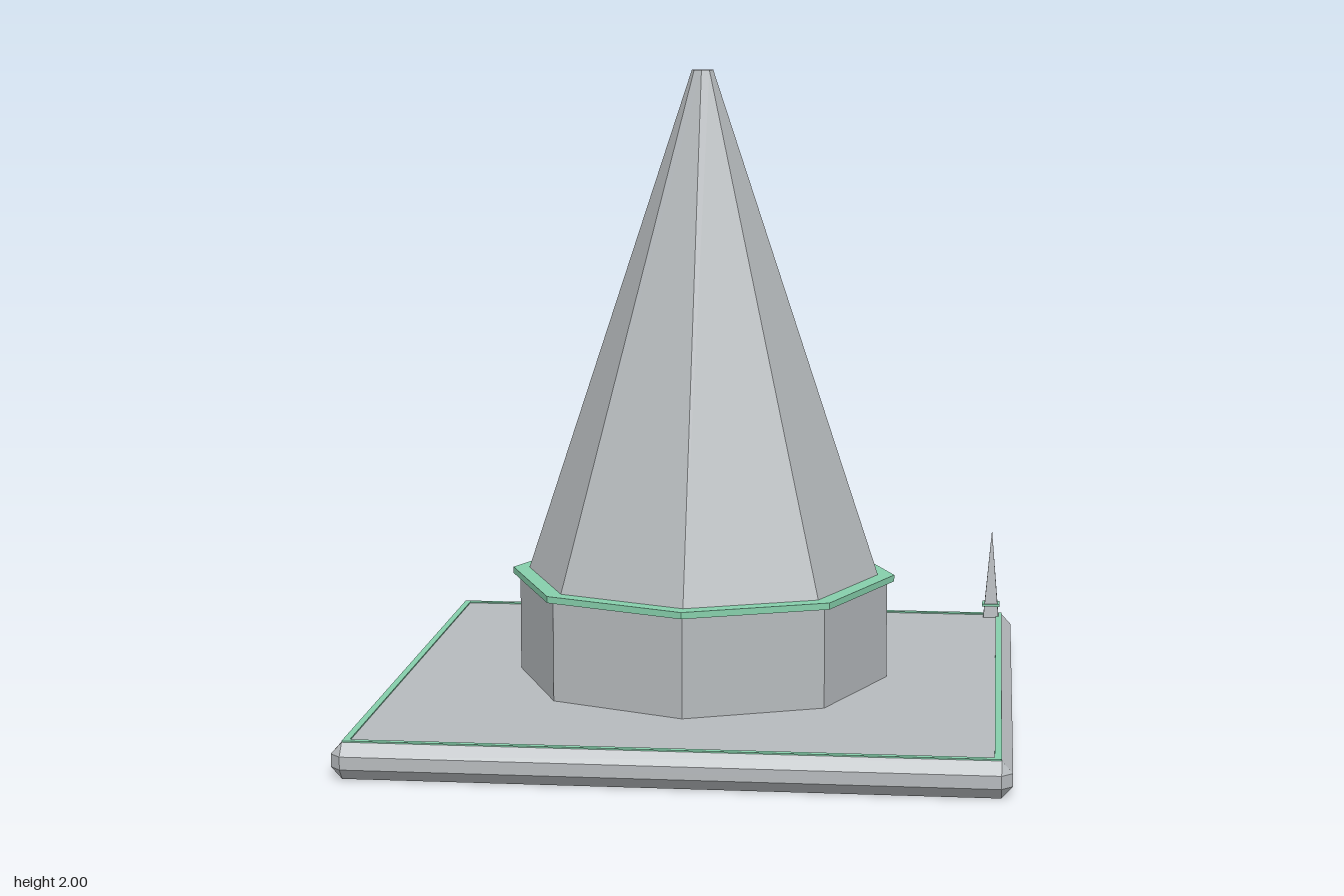
import * as THREE from 'three';
import { ConvexGeometry } from 'three/addons/geometries/ConvexGeometry.js';

export function createModel() {
  const model = new THREE.Group();
  const flat = (name, color) => {
    const m = new THREE.MeshStandardMaterial({ color, flatShading: true });
    m.name = name;
    return m;
  };
  const stone = flat('pale grey', 0xb6babd);
  const mint = flat('mint green', 0x86cfab);

  const add = (name, geometry, material, x, y, z, parent = model) => {
    const mesh = new THREE.Mesh(geometry, material);
    mesh.name = name;
    mesh.position.set(x, y, z);
    parent.add(mesh);
    return mesh;
  };

  // Square slab with every edge and corner chamfered
  const half = 0.972, inset = 0.94, h = 0.108, c = 0.035;
  const corners = [];
  for (const sx of [-1, 1]) for (const sz of [-1, 1]) {
    for (const y of [c, h - c]) {
      corners.push(new THREE.Vector3(sx * half, y, sz * inset), new THREE.Vector3(sx * inset, y, sz * half));
    }
    for (const y of [0, h]) corners.push(new THREE.Vector3(sx * inset, y, sz * inset));
  }
  add('baseSlab', new ConvexGeometry(corners), stone, 0, 0, 0);

  // Thin border strips around the top of the slab
  const w = 0.02, mid = inset - w / 2;
  for (const s of [-1, 1]) {
    add('borderStripX', new THREE.BoxGeometry(2 * inset, 0.008, w), mint, 0, h, s * mid);
    add('borderStripZ', new THREE.BoxGeometry(w, 0.008, 2 * (inset - w)), mint, s * mid, h, 0);
  }

  // Octagonal drum, collar and tapering roof
  add('drum', new THREE.CylinderGeometry(0.58, 0.58, 0.315, 8), stone, 0, 0.2625, 0);
  add('drumCollar', new THREE.CylinderGeometry(0.602, 0.602, 0.02, 8), mint, 0, 0.424, 0);
  add('roof', new THREE.CylinderGeometry(0.033, 0.552, 1.57, 8), stone, 0, 1.215, 0);

  // Slender fin leaning on one rear roof face
  const finMount = new THREE.Group();
  finMount.name = 'finMount';
  finMount.rotation.y = THREE.MathUtils.degToRad(157.5);
  model.add(finMount);
  const fin = add('fin', new THREE.ConeGeometry(0.037, 1.128, 4), mint, 0, 0.9925, 0.35, finMount);
  fin.rotation.x = -Math.atan2(0.34, 1.075);

  // Small corner spike with its band
  const spike = add('cornerSpike', new THREE.ConeGeometry(0.037, 0.305, 4), stone, 0.904, 0.2575, -0.904);
  spike.rotation.y = Math.PI / 4;
  add('spikeBand', new THREE.BoxGeometry(0.06, 0.008, 0.06), mint, 0.904, 0.151, -0.904);

  return model;
}
